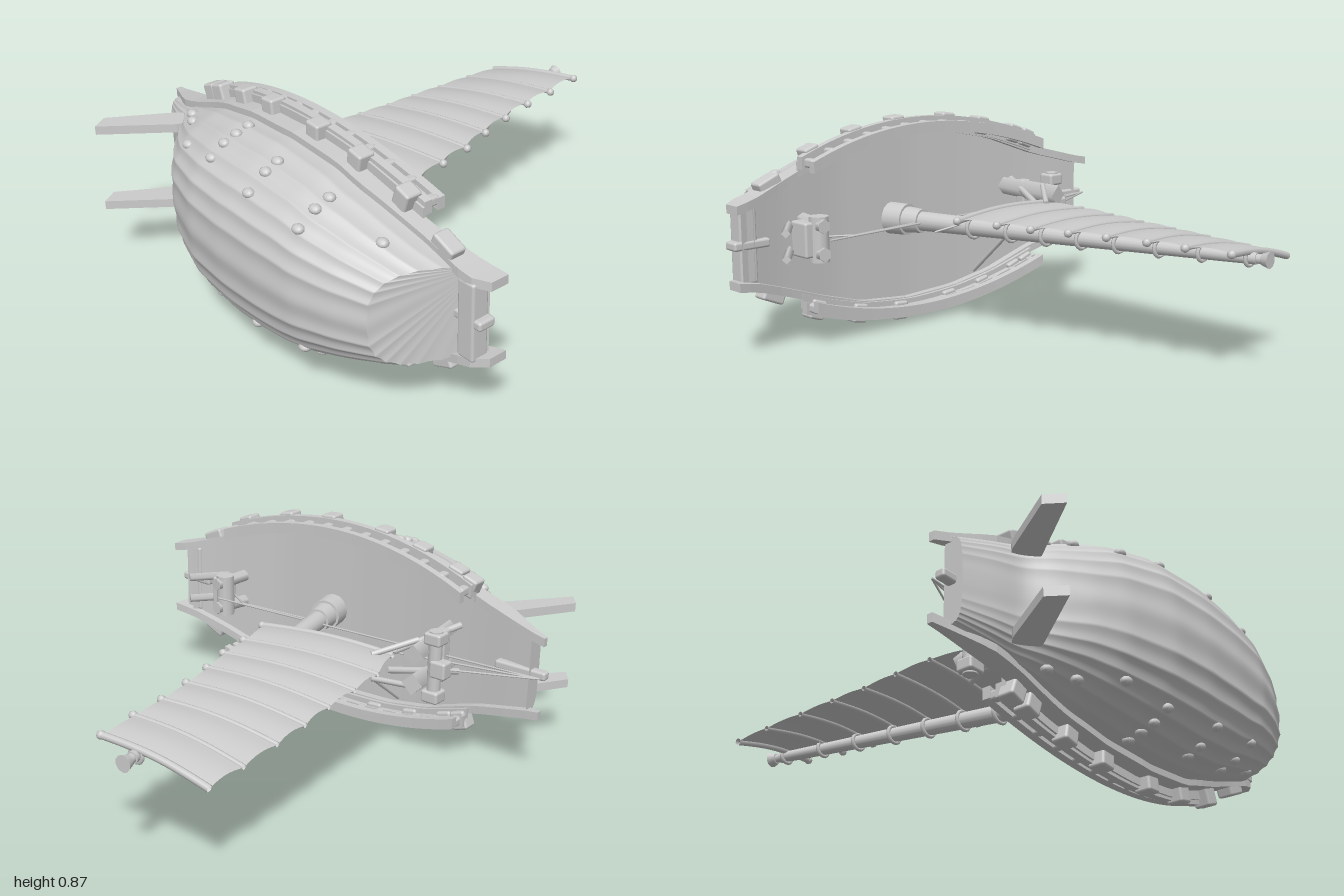
import * as THREE from 'three';
import { RoundedBoxGeometry } from 'three/addons/geometries/RoundedBoxGeometry.js';

const mat = new THREE.MeshStandardMaterial({ color: 0xcccccc, side: THREE.DoubleSide });
const V = (x, d, b) => new THREE.Vector3(x, -d, b); // along, depth, beam

// Piecewise tables along the ship, lightly smoothed
const raw = (t, x) => {
  if (x <= t[0][0]) return t[0][1];
  for (let i = 1; i < t.length; i++) if (x <= t[i][0]) {
    const [x0, y0] = t[i - 1], [x1, y1] = t[i];
    return y0 + (y1 - y0) * (x - x0) / (x1 - x0);
  }
  return t[t.length - 1][1];
};
const lerp = (t, x) => (raw(t, x - 0.02) + raw(t, x) + raw(t, x + 0.02)) / 3;
const SHEER = [[-0.95, 0.53], [-0.8, 0.55], [-0.6, 0.58], [-0.3, 0.61], [0, 0.625], [0.4, 0.615], [0.7, 0.575], [0.95, 0.52]];
const BEAM = [[-0.95, 0.15], [-0.88, 0.165], [-0.65, 0.225], [-0.4, 0.315], [-0.2, 0.355], [0.05, 0.37], [0.3, 0.345], [0.5, 0.285], [0.7, 0.215], [0.85, 0.165], [0.95, 0.145]];
const KEEL = [[-0.95, 0.59], [-0.88, 0.62], [-0.78, 0.665], [-0.68, 0.7], [-0.6, 0.78], [-0.5, 0.86], [-0.4, 0.92], [-0.2, 0.98], [0, 0.997], [0.2, 0.995], [0.4, 0.98], [0.55, 0.94], [0.69, 0.885], [0.86, 0.82]];
const FULL = [[-0.9, 4.5], [-0.5, 2.8], [0, 2.6], [0.5, 2.7], [0.7, 3], [0.86, 3]];
const sheer = x => lerp(SHEER, x), beam = x => lerp(BEAM, x);

function hullPoint(x, t) {
  const e = 2 / lerp(FULL, x), c = Math.cos(t), s = Math.max(0, Math.sin(t));
  const seam = 1 - 0.02 * Math.abs(Math.sin(t * 14)); // shallow plank seams
  const top = sheer(x);
  return V(x, top + (lerp(KEEL, x) - top) * s ** e * seam, beam(x) * Math.sign(c) * Math.abs(c) ** e * seam);
}
// The hull ends at a raked bow transom
const bowEnd = t => 0.865 - 0.175 * Math.max(0, Math.sin(t)) ** 0.67;

// Surface through rows of points; closed wraps each row, caps fill both ends
function loft(rows, closed = false, caps = false) {
  const n = rows[0].length, pos = rows.flat().flatMap(p => p.toArray()), idx = [];
  for (let i = 0; i < rows.length - 1; i++)
    for (let j = 0; j < (closed ? n : n - 1); j++) {
      const a = i * n + j, b = i * n + (j + 1) % n;
      idx.push(a, b, a + n, b, b + n, a + n);
    }
  if (caps) for (const [r, flip] of [[0, true], [rows.length - 1, false]]) {
    const base = pos.length / 3;
    rows[r].forEach(p => pos.push(...p.toArray()));
    for (let j = 1; j < n - 1; j++) idx.push(base, base + (flip ? j + 1 : j), base + (flip ? j : j + 1));
  }
  const g = new THREE.BufferGeometry();
  g.setAttribute('position', new THREE.Float32BufferAttribute(pos, 3));
  g.setIndex(idx);
  g.computeVertexNormals();
  return g;
}
const range = (a, b, n) => Array.from({ length: n + 1 }, (_, i) => a + (b - a) * i / n);

export function createModel() {
  const ship = new THREE.Group();
  ship.name = 'ship';
  const add = (name, geo) => {
    const m = new THREE.Mesh(geo, mat);
    m.name = name;
    ship.add(m);
    return m;
  };
  const rod = (name, a, b, r0, r1 = r0, sides = 8) => {
    const d = b.clone().sub(a);
    const m = add(name, new THREE.CylinderGeometry(r1, r0, d.length(), sides));
    m.position.copy(a).addScaledVector(d, 0.5);
    m.quaternion.setFromUnitVectors(new THREE.Vector3(0, 1, 0), d.normalize());
  };
  const box = (name, p, sx, sy, sz, yaw = 0) => {
    const m = add(name, new RoundedBoxGeometry(sx, sy, sz, 2, 0.01));
    m.position.copy(p);
    m.rotation.y = yaw;
  };
  // Rectangular plank swept along x; functions give centre beam and top/bottom depth
  const plank = (name, x0, x1, mid, top, bottom, w) => {
    const g = loft(range(x0, x1, 36).map(x => [V(x, top(x), mid(x) - w / 2), V(x, top(x), mid(x) + w / 2),
      V(x, bottom(x), mid(x) + w / 2), V(x, bottom(x), mid(x) - w / 2)]), true, true).toNonIndexed();
    g.computeVertexNormals();
    add(name, g);
  };

  // Hull and deck
  add('hull', loft(range(0, 1, 72).map(u => range(0, Math.PI, 168).map(t => hullPoint(-0.89 + u * (bowEnd(t) + 0.89), t))), false, true));
  add('deck', loft(range(-0.89, 0.91, 30).map(x => [-1, -0.5, 0, 0.5, 1].map(k => V(x, sheer(x) + 0.025, k * beam(x) * 0.985)))));

  const railBeam = x => 0.4 - 0.3 * (x - 0.02) ** 2;
  const railTop = x => 0.525 - 0.09 * (x - 0.1) ** 2;
  for (const s of [-1, 1]) {
    // Side strakes running out past both ends
    plank('strake', -0.95, 0.95, x => s * beam(x), x => sheer(x) - 0.008,
      x => sheer(x) + lerp([[-0.95, 0.012], [-0.75, 0.075], [-0.5, 0.06], [0.7, 0.06], [0.9, 0.1], [0.95, 0.06]], x), 0.034);
    // Railing with posts
    plank('topRail', -0.61, 0.62, x => s * (railBeam(x) - 0.015), x => railTop(x) - 0.016, x => railTop(x) + 0.016, 0.045);
    plank('lowerRail', -0.62, 0.63, x => s * railBeam(x), x => railTop(x) + 0.05, x => railTop(x) + 0.082, 0.05);
    plank('railShelf', -0.62, 0.63, x => s * (railBeam(x) + beam(x)) / 2, x => railTop(x) + 0.075, x => railTop(x) + 0.09, 0.06);
    for (const x of range(-0.59, 0.6, 12))
      box('railPost', V(x, railTop(x) + 0.032, s * (railBeam(x) - 0.01)), 0.036, 0.06, 0.036);
    // Beam ends under the rail
    for (const x of [-0.59, -0.52, -0.34, -0.15, 0.12, 0.34, 0.56])
      box('beamEnd', V(x, railTop(x) + 0.093, s * (railBeam(x) - 0.002)), 0.068, 0.068, 0.078, s * 0.6 * x);
    box('bowBeamEnd', V(0.76, 0.6, s * 0.215), 0.1, 0.066, 0.06, s * 0.4);
    // Quarter rudders
    const blade = new THREE.Shape([[-0.73, -0.69], [-0.68, -0.64], [-0.62, -0.7], [-0.635, -0.74], [-0.825, -0.985], [-0.87, -0.92]].map(p => new THREE.Vector2(...p)));
    add('rudder', new THREE.ExtrudeGeometry(blade, { depth: 0.035, bevelEnabled: false })).position.z = s * 0.165 - 0.0175;
    // Bolt heads on the hull
    for (const [x, t] of [[-0.15, 0.2], [-0.15, 0.35], [-0.15, 0.52], [-0.15, 0.75], [0.12, 0.38], [0.12, 0.55], [0.12, 0.85], [0.38, 0.35], [0.38, 0.55], [0.38, 0.85], [0.62, 0.4], [-0.35, 0.8], [-0.48, 0.5], [-0.57, 0.4]]) {
      const m = add('bolt', new THREE.SphereGeometry(0.025, 10, 8));
      m.position.copy(hullPoint(x, t));
      m.position.z *= s;
      m.scale.set(1, 0.85, 0.7);
    }
    // Stern windlass posts and bow frame
    rod('sternPost', V(-0.49, 0.6, s * 0.075), V(-0.525, 0.29, s * 0.06), 0.038, 0.045, 4);
    rod('sternBrace', V(-0.54, 0.6, s * 0.1), V(-0.4, 0.3, s * 0.035), 0.014);
    rod('sternLink', V(-0.5, 0.36, s * 0.1), V(-0.38, 0.22, s * 0.05), 0.012);
    box('windlassHead', V(-0.57, 0.375, s * 0.12), 0.075, 0.07, 0.05);
    rod('bowPost', V(0.6, 0.6, s * 0.06), V(0.62, 0.43, s * 0.055), 0.028, 0.028, 6);
    rod('bowHandle', V(0.68, 0.58, s * 0.05), V(0.79, 0.44, s * 0.05), 0.018, 0.018, 4);
  }

  // Centre timbers and bow platform
  box('sternTimber', V(-0.84, 0.57, 0), 0.22, 0.04, 0.035);
  box('bowTimber', V(0.86, 0.59, 0), 0.16, 0.07, 0.035);
  box('bowPlatform', V(0.875, 0.595, 0), 0.075, 0.07, 0.3);
  // Windlass barrels and blocks
  rod('sternBarrel', V(-0.57, 0.375, -0.15), V(-0.57, 0.375, 0.15), 0.028, 0.028, 10);
  box('sternBlock', V(-0.6, 0.37, 0), 0.07, 0.06, 0.07);
  box('sternCrossbar', V(-0.52, 0.5, 0), 0.05, 0.05, 0.22);
  rod('bowBarrel', V(0.61, 0.48, -0.09), V(0.61, 0.48, 0.09), 0.04, 0.04, 10);
  box('bowBlock', V(0.65, 0.52, 0), 0.06, 0.1, 0.14);

  // Mast with stepped collar and cap
  const foot = V(0.125, 0.64, 0), head = V(-0.255, -0.95, 0.012);
  const onMast = k => foot.clone().lerp(head, k);
  rod('mast', foot, head, 0.043, 0.022, 16);
  rod('mastCollar', foot, onMast(0.055), 0.068, 0.066, 16);
  rod('mastNeck', onMast(0.055), onMast(0.1), 0.056, 0.05, 16);
  rod('mastTip', head, V(-0.262, -0.985, 0.012), 0.018, 0.018, 10);
  rod('mastCap', V(-0.261, -0.97, 0.012), V(-0.264, -1, 0.012), 0.022, 0.032, 10);

  // Battened sail, twisting toward its head: ends of every batten as [x, depth]
  const left = [[-0.54, -0.885], [-0.54, -0.715], [-0.53, -0.53], [-0.52, -0.365], [-0.505, -0.21], [-0.5, -0.05], [-0.49, 0.11], [-0.435, 0.285]];
  const right = [[-0.115, -0.945], [-0.085, -0.765], [-0.065, -0.605], [-0.03, -0.44], [0.01, -0.285], [0.06, -0.135], [0.09, 0.02], [0.14, 0.195]];
  const sailPoint = (v, u) => {
    const i = Math.min(6, Math.floor(v)), f = v - i, puff = Math.sin(Math.PI * f);
    const end = (e, k) => e[i][k] + (e[i + 1][k] - e[i][k]) * f;
    const x = end(left, 0) + (end(right, 0) - end(left, 0)) * u + (0.5 - u) * 0.01 * puff;
    const d = end(left, 1) + (end(right, 1) - end(left, 1)) * u + 0.005 * Math.sin(Math.PI * u);
    const luff = -0.03 + 0.07 * v / 7;
    return V(x, d, luff + (0.048 - luff) * u + 0.014 * Math.sin(Math.PI * u) + 0.01 * puff);
  };
  add('sail', loft(range(0, 7, 56).map(v => range(0, 1, 16).map(u => sailPoint(v, u)))));
  for (let i = 0; i < 8; i++) {
    const edge = i === 0 || i === 7, pts = range(0, 1.02, 8).map(u => sailPoint(i, u));
    add('batten', new THREE.TubeGeometry(new THREE.CatmullRomCurve3(pts), 20, edge ? 0.014 : 0.01, 8));
    add('battenTip', new THREE.SphereGeometry(0.017, 8, 6)).position.copy(pts[8]);
    // Lashing round the mast
    const k = (0.64 + sailPoint(i, 0.7).y) / 1.59;
    const loop = add('lashing', new THREE.TorusGeometry(0.049 - 0.021 * k, 0.008, 6, 16));
    loop.position.copy(onMast(k));
    loop.rotation.x = Math.PI / 2;
  }

  // Rigging lines
  const lines = [
    [V(-0.94, 0.53, 0), V(0.2, 0.27, 0)], [V(0.2, 0.27, 0), V(0.13, 0.2, 0.03)], [V(-0.94, 0.53, 0), V(-0.6, 0.37, 0)],
    [V(-0.94, 0.53, 0), V(0.6, 0.42, 0)], [V(0.14, 0.47, 0), V(0.47, 0.44, 0)], [V(0.47, 0.44, 0), V(0.57, 0.5, 0)],
  ];
  for (const [a, b] of lines) rod('rope', a, b, 0.004, 0.004, 5);
  rod('stay', V(-0.28, 0.57, -0.28), V(-0.25, 0.29, -0.05), 0.009);

  // Lay the ship with its keel to the front
  ship.rotation.x = -Math.PI / 2;
  ship.position.y = 0.44;
  const model = new THREE.Group();
  model.name = 'sailingShip';
  model.add(ship);
  return model;
}
